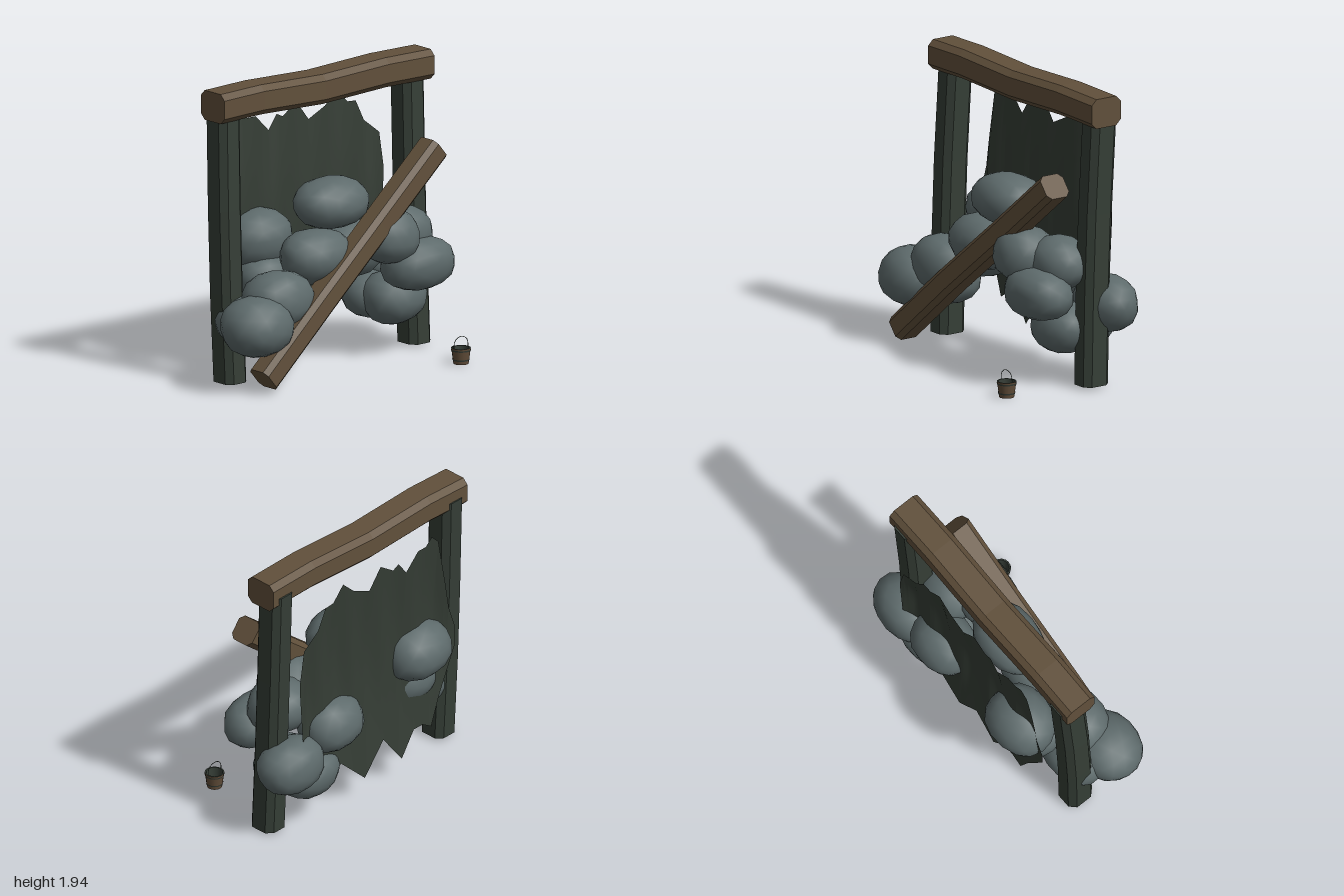
import * as THREE from 'three';
import { mergeVertices } from 'three/addons/utils/BufferGeometryUtils.js';

const material = (name, color, extra = {}) => {
  const m = new THREE.MeshStandardMaterial({ color, ...extra });
  m.name = name;
  return m;
};

// Chamfered timber swept along a path; u x v must point along the path
function timberGeometry(path, u, v, width, depth, chamfer) {
  const w = width / 2, d = depth / 2, c = chamfer;
  const section = [[w, -d + c], [w, d - c], [w - c, d], [-w + c, d], [-w, d - c], [-w, -d + c], [-w + c, -d], [w - c, -d]];
  const n = section.length, positions = [], index = [];
  path.forEach((p) => section.forEach(([a, b]) => {
    positions.push(...[0, 1, 2].map((k) => p[k] + u[k] * a + v[k] * b));
  }));
  for (let i = 0; i < path.length - 1; i++) {
    for (let j = 0; j < n; j++) {
      const a = i * n + j, b = i * n + (j + 1) % n;
      index.push(a, b, b + n, a, b + n, a + n);
    }
  }
  const last = (path.length - 1) * n;
  for (let j = 1; j < n - 1; j++) {
    index.push(0, j + 1, j, last, last + j, last + j + 1);
  }
  const indexed = new THREE.BufferGeometry();
  indexed.setAttribute('position', new THREE.Float32BufferAttribute(positions, 3));
  indexed.setIndex(index);
  const geometry = indexed.toNonIndexed();
  geometry.computeVertexNormals();
  return geometry;
}

// Slightly boxy, lumpy, smooth-shaded boulder
function boulderGeometry(radii, seed) {
  let geometry = new THREE.IcosahedronGeometry(1, 2);
  geometry.deleteAttribute('uv');
  geometry.deleteAttribute('normal');
  geometry = mergeVertices(geometry, 1e-4);
  geometry.rotateX(seed * 1.3).rotateY(seed * 2.1);
  const pos = geometry.attributes.position, p = new THREE.Vector3(), power = 2.25;
  for (let i = 0; i < pos.count; i++) {
    p.fromBufferAttribute(pos, i);
    const round = p.toArray().reduce((sum, k) => sum + Math.abs(k) ** power, 0) ** (-1 / power);
    const lump = 1.01 + 0.025 * Math.sin(3 * p.x + seed * 1.7) + 0.025 * Math.sin(4 * p.y + 2 * p.z + seed);
    p.multiplyScalar(round * lump);
    pos.setXYZ(i, p.x * radii[0], p.y * radii[1], p.z * radii[2]);
  }
  geometry.computeVertexNormals();
  return geometry;
}

// Piecewise linear lookup through [x, y] points
function lookup(points, x) {
  for (let i = 1; i < points.length; i++) {
    const [x0, y0] = points[i - 1], [x1, y1] = points[i];
    if (x <= x1) return y0 + (y1 - y0) * (x - x0) / (x1 - x0);
  }
  return points[points.length - 1][1];
}

// Hanging sheet with torn edges and soft vertical folds that flatten towards the edges
function curtainGeometry() {
  const top = [[-0.69, 0.92], [-0.63, 1.1], [-0.6, 1.29], [-0.535, 1.64], [-0.475, 1.7], [-0.42, 1.65], [-0.35, 1.65],
    [-0.24, 1.54], [-0.17, 1.635], [-0.12, 1.61], [-0.005, 1.69], [0.1, 1.555], [0.24, 1.62], [0.34, 1.715],
    [0.43, 1.615], [0.5, 1.61], [0.57, 1.47], [0.7, 1.37], [0.735, 1.15]];
  const bottom = [[-0.69, 0.8], [-0.54, 0.47], [-0.47, 0.27], [-0.39, 0.32], [-0.31, 0.32], [-0.2, 0.15], [-0.03, 0.37],
    [0.14, 0.16], [0.36, 0.37], [0.47, 0.26], [0.56, 0.37], [0.68, 0.36], [0.71, 0.69], [0.735, 1.05]];
  const xs = [...top, ...bottom].map((p) => p[0]);
  for (let i = 1; i < 48; i++) xs.push(-0.69 + 1.425 * i / 48);
  const columns = [...new Set(xs)].sort((a, b) => a - b);
  const rows = 14, positions = [], index = [];
  columns.forEach((x, i) => {
    const y0 = lookup(bottom, x), y1 = lookup(top, x);
    for (let j = 0; j <= rows; j++) {
      const y = y0 + (y1 - y0) * j / rows;
      const swell = Math.sin(Math.PI * j / rows);
      const side = Math.min(1, (x + 0.69) / 0.12, (0.735 - x) / 0.12);
      const fold = 0.5 + 0.5 * Math.sin(x * 22 + Math.sin(y * 3) * 0.6);
      positions.push(x, y, -0.363 + swell * side * (0.025 + 0.03 * fold));
      if (i && j) {
        const d = i * (rows + 1) + j, c = d - 1, b = d - rows - 1, a = b - 1;
        index.push(a, c, d, a, d, b);
      }
    }
  });
  const geometry = new THREE.BufferGeometry();
  geometry.setAttribute('position', new THREE.Float32BufferAttribute(positions, 3));
  geometry.setIndex(index);
  geometry.computeVertexNormals();
  return geometry;
}

export function createModel() {
  const model = new THREE.Group();
  const wood = material('brown timber', 0x61503b);
  const darkWood = material('dark green timber', 0x353e36);
  const cloth = material('dark green cloth', 0x353d35, { side: THREE.DoubleSide });
  const stone = material('grey stone', 0x5e6b6c);
  const bucketWood = material('bucket wood', 0x614d39);
  const iron = material('dark iron', 0x343c35, { side: THREE.DoubleSide });

  const add = (name, geometry, mat, parent = model) => {
    const mesh = new THREE.Mesh(geometry, mat);
    mesh.name = name;
    parent.add(mesh);
    return mesh;
  };
  const X = [1, 0, 0], Y = [0, 1, 0], Z = [0, 0, 1];

  // Door frame: two leaning posts and a wavy lintel
  const post = (x, bend) => timberGeometry(
    [[x, 0.017, -0.147], [x + bend, 0.6, -0.165], [x + bend, 1.15, -0.185], [x, 1.82, -0.215]], Z, X, 0.194, 0.178, 0.04);
  add('rightPost', post(-0.757, -0.014), darkWood);
  add('leftPost', post(0.805, -0.01), darkWood);
  add('lintel', timberGeometry(
    [[-0.865, 1.83, -0.19], [-0.53, 1.838, -0.187], [0, 1.817, -0.19], [0.53, 1.838, -0.185], [0.915, 1.83, -0.187]],
    Y, Z, 0.195, 0.228, 0.037), wood);

  // Fallen beam leaning across the opening
  const a = Math.atan2(1.26, 1.515);
  add('fallenBeam', timberGeometry(
    [[-0.768, 0.093, 0.19], [-0.26, 0.522, 0.163], [0.24, 0.928, 0.13], [0.753, 1.351, 0.102]],
    [-Math.sin(a), Math.cos(a), 0], Z, 0.168, 0.178, 0.032), wood);

  add('tornCurtain', curtainGeometry(), cloth);

  // Heap of boulders: centre, then radii
  const rubble = new THREE.Group();
  rubble.name = 'rubble';
  model.add(rubble);
  [
    [-0.755, 0.425, 0.113, 0.245, 0.192, 0.208],
    [-0.51, 0.55, 0.045, 0.245, 0.187, 0.198],
    [-0.65, 0.42, -0.07, 0.23, 0.175, 0.185],
    [-0.4, 0.868, -0.3, 0.245, 0.185, 0.2],
    [-0.41, 0.62, -0.2, 0.21, 0.16, 0.165],
    [-0.155, 0.767, 0.0, 0.25, 0.177, 0.185],
    [0.015, 1.08, -0.055, 0.255, 0.169, 0.197],
    [0.385, 0.825, 0.08, 0.203, 0.178, 0.188],
    [0.605, 0.79, -0.05, 0.215, 0.172, 0.195],
    [0.605, 0.615, 0.122, 0.255, 0.167, 0.185],
    [0.38, 0.67, -0.29, 0.23, 0.175, 0.19],
    [0.755, 0.52, -0.3, 0.25, 0.175, 0.173],
    [0.585, 0.36, -0.085, 0.215, 0.175, 0.18],
    [0.56, 0.36, -0.255, 0.215, 0.165, 0.18],
  ].forEach(([x, y, z, ...radii], i) => {
    add('boulder', boulderGeometry(radii, i + 1), stone, rubble).position.set(x, y, z);
  });

  // Bucket with iron hoops and a wire handle
  const bucket = new THREE.Group();
  bucket.name = 'bucket';
  bucket.position.set(0.692, 0, 0.437);
  model.add(bucket);
  add('bucketStaves', new THREE.CylinderGeometry(0.063, 0.049, 0.105, 16, 1, true), bucketWood, bucket).position.y = 0.0525;
  add('bucketLining', new THREE.CylinderGeometry(0.053, 0.043, 0.1, 16, 1, true), iron, bucket).position.y = 0.055;
  const rim = add('bucketRim', new THREE.RingGeometry(0.053, 0.063, 16), iron, bucket);
  rim.rotation.x = -Math.PI / 2;
  rim.position.y = 0.105;
  const floor = add('bucketFloor', new THREE.CircleGeometry(0.049, 16), iron, bucket);
  floor.rotation.x = Math.PI / 2;
  floor.position.y = 0.004;
  [[0.09, 0.0635], [0.028, 0.0555]].forEach(([y, r]) => {
    add('bucketHoop', new THREE.CylinderGeometry(r + 0.001, r - 0.001, 0.01, 16, 1, true), iron, bucket).position.y = y;
  });
  const wire = new THREE.CatmullRomCurve3([[-0.06, 0.095], [-0.055, 0.145], [-0.03, 0.17], [0, 0.177],
    [0.03, 0.17], [0.055, 0.145], [0.06, 0.095]].map(([x, y]) => new THREE.Vector3(x, y, 0)));
  add('bucketHandle', new THREE.TubeGeometry(wire, 20, 0.0022, 6), iron, bucket);

  return model;
}
